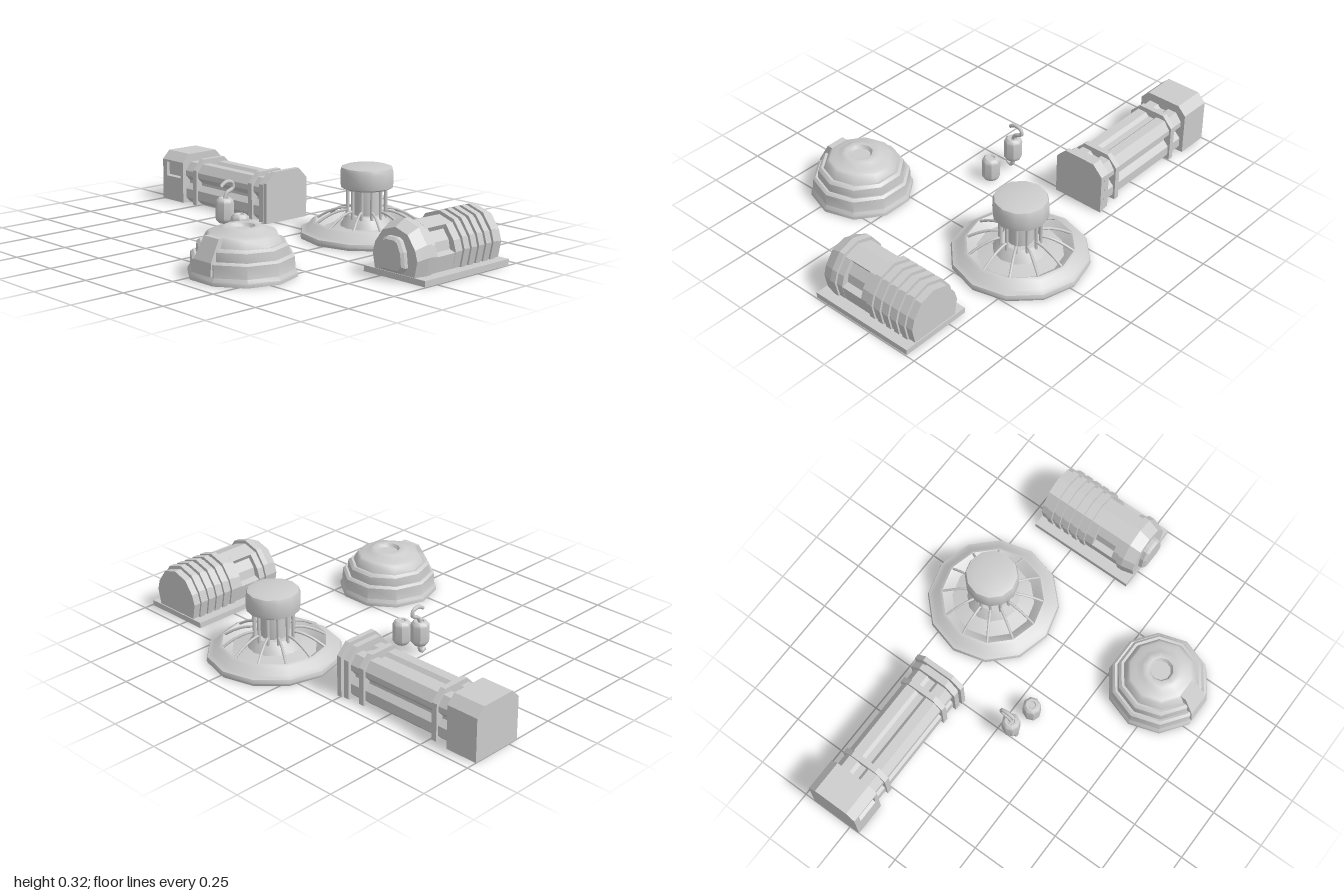
import * as THREE from 'three';
import { toCreasedNormals } from 'three/addons/utils/BufferGeometryUtils.js';

const grey = new THREE.MeshStandardMaterial({ color: 0xcccccc, side: THREE.DoubleSide });

function add(parent, name, geometry) {
  const mesh = new THREE.Mesh(geometry, grey);
  mesh.name = name;
  parent.add(mesh);
  return mesh;
}

function group(parent, name, x, z) {
  const g = new THREE.Group();
  g.name = name;
  g.position.set(x, 0, z);
  parent.add(g);
  return g;
}

const vectors = (pts) => pts.map(([x, y]) => new THREE.Vector2(x, y));

// right half of an outline, bottom to top, mirrored into a closed outline
const mirrored = (half) => [...half, ...half.filter(([x]) => x > 0).reverse().map(([x, y]) => [-x, y])];

// outline extruded along z from a to b
function slab(parent, name, pts, a, b) {
  const geo = new THREE.ExtrudeGeometry(new THREE.Shape(vectors(pts)), { depth: b - a, bevelEnabled: false });
  geo.translate(0, 0, a);
  return add(parent, name, geo);
}

// skin between two outlines with equal point counts, closed at the front
function taper(parent, name, back, front, a, b) {
  const mesh = slab(parent, name, back, a, b);
  const p = mesh.geometry.attributes.position;
  for (let i = 0; i < p.count; i++) {
    if (Math.abs(p.getZ(i) - b) > 1e-5) continue;
    const k = back.findIndex(([x, y]) => Math.hypot(x - p.getX(i), y - p.getY(i)) < 1e-5);
    if (k >= 0) p.setXY(i, ...front[k]);
  }
  mesh.geometry.computeVertexNormals();
}

function lathe(parent, name, pts, sides, start = 0) {
  return add(parent, name, toCreasedNormals(new THREE.LatheGeometry(vectors(pts), sides, start), 0.7));
}

function tube(parent, name, pts, r) {
  const curve = new THREE.CatmullRomCurve3(pts.map((p) => new THREE.Vector3(...p)));
  return add(parent, name, new THREE.TubeGeometry(curve, 14, r, 6));
}

// long hall lying along x
function buildHall(root) {
  const hall = group(root, 'longHall', 0, -0.325);
  hall.rotation.y = Math.PI / 2; // local z runs along x, local -x is the front
  const section = (w, h, c) => mirrored([[w, 0], [w, h - c], [w - c, h]]);
  // grooved body: a shallow channel along the top, bottom and both sides
  slab(hall, 'hallBody', mirrored([
    [0.02, 0.025], [0.03, 0.005], [0.085, 0.005], [0.105, 0.025], [0.105, 0.07], [0.08, 0.095],
    [0.08, 0.108], [0.105, 0.135], [0.105, 0.16], [0.075, 0.2], [0.03, 0.2], [0.015, 0.185],
  ]), -0.86, -0.28);
  for (const x of [-0.768, -0.362]) slab(hall, 'hallBand', section(0.115, 0.222, 0.05), x - 0.013, x + 0.013);
  slab(hall, 'hallFlange', section(0.12, 0.23, 0.05), -0.292, -0.265);
  slab(hall, 'hallFlangeWaist', section(0.11, 0.215, 0.05), -0.265, -0.255);
  slab(hall, 'hallEndPlate', section(0.127, 0.24, 0.05), -0.255, -0.232);
  // head block with a window recess in its front wall
  const full = section(0.125, 0.24, 0.04);
  const notched = [...full.slice(0, 3), [-0.085, 0.24], [-0.125, 0.2], [-0.125, 0.19], [-0.108, 0.185],
    [-0.108, 0.125], [-0.125, 0.12], [-0.125, 0]];
  slab(hall, 'headBlockEnd', full, -1, -0.97);
  slab(hall, 'headBlockWindow', notched, -0.97, -0.865);
  slab(hall, 'headBlockInner', full, -0.865, -0.845);
}

// round dish with a raised drum on posts
function buildDish(root) {
  const dish = group(root, 'dishStation', 0.23, -0.385);
  lathe(dish, 'dishShell', [[0.3, 0], [0.305, 0.012], [0.3, 0.028], [0.275, 0.036], [0.25, 0.066],
    [0.235, 0.072], [0.225, 0.066], [0.19, 0.035], [0.12, 0.05], [0.1, 0.08], [0.085, 0.1], [0, 0.1]], 12);
  lathe(dish, 'core', [[0.06, 0.09], [0.06, 0.225]], 12);
  lathe(dish, 'drum', [[0, 0.22], [0.105, 0.22], [0.119, 0.228], [0.122, 0.25], [0.122, 0.295],
    [0.115, 0.316], [0.085, 0.324], [0, 0.325]], 12);
  for (let i = 0; i < 12; i++) {
    const spoke = group(dish, 'spoke', 0, 0);
    spoke.rotation.y = (i * Math.PI) / 6;
    tube(spoke, 'rib', [[0, 0.066, 0.232], [0, 0.098, 0.18], [0, 0.118, 0.13], [0, 0.125, 0.085]], 0.006);
    add(spoke, 'post', new THREE.CylinderGeometry(0.008, 0.008, 0.135, 6)).position.set(0, 0.155, 0.088);
  }
}

// hollow tiered dome with a sloping door panel
function buildDome(root) {
  const dome = group(root, 'dome', 0.345, 0.46);
  lathe(dome, 'domeShell', [[0.232, 0], [0.232, 0.016], [0.222, 0.032], [0.22, 0.085], [0.208, 0.095],
    [0.197, 0.092], [0.193, 0.13], [0.18, 0.142], [0.168, 0.14], [0.152, 0.172], [0.14, 0.182], [0.115, 0.184],
    [0.088, 0.2], [0.07, 0.206], [0.055, 0.203], [0.045, 0.188], [0, 0.188]], 10, Math.PI / 2);
  // door outline in (z, y), extruded across x and narrowed towards the top
  const door = new THREE.ExtrudeGeometry(
    new THREE.Shape(vectors([[0.18, 0.035], [0.222, 0.035], [0.214, 0.09], [0.165, 0.18], [0.13, 0.18]])),
    { depth: 0.12, bevelEnabled: false });
  door.translate(0, 0, -0.06);
  door.rotateY(-Math.PI / 2);
  const p = door.attributes.position;
  for (let i = 0; i < p.count; i++) p.setX(i, p.getX(i) * (1 - (p.getY(i) - 0.035) * 1.7));
  door.computeVertexNormals();
  add(dome, 'doorPanel', door);
}

// ribbed cabin on a base plate, lying along z
function buildCabin(root) {
  const cabin = group(root, 'ribbedCabin', 0.825, 0);
  const plate = new THREE.Shape(vectors([[-0.17, -0.065], [0.17, -0.065], [0.17, 0.455], [-0.17, 0.455]]));
  plate.holes.push(new THREE.Path(vectors([[-0.1, -0.04], [-0.1, 0.43], [0.1, 0.43], [0.1, -0.04]])));
  const base = new THREE.ExtrudeGeometry(plate, { depth: 0.026, bevelEnabled: false });
  base.rotateX(-Math.PI / 2);
  add(cabin, 'basePlate', base);

  const hull = (s) => mirrored([[0.122, 0.015], [0.14, 0.105], [0.125, 0.155], [0.078, 0.22], [0, 0.245]]
    .map(([x, y]) => [x * s, 0.015 + (y - 0.015) * s]));
  const body = hull(0.93);
  // window span: the shoulders are cut in on both sides
  const windowHull = mirrored([[0.113, 0.015], [0.128, 0.095], [0.098, 0.105], [0.09, 0.145], [0.06, 0.185],
    [0.072, 0.206], [0, 0.229]]);
  slab(cabin, 'rearBody', body, -0.45, -0.162);
  slab(cabin, 'windowBody', windowHull, -0.162, -0.052);
  slab(cabin, 'frontBody', body, -0.052, 0);
  for (let i = 0; i < 5; i++) {
    const z = -0.218 - i * 0.046;
    slab(cabin, 'rib', hull(1), z - 0.014, z + 0.014);
  }
  slab(cabin, 'frontCollar', hull(1), -0.02, 0.008);
  taper(cabin, 'frontSlope', hull(1), hull(0.88), 0.008, 0.062);
  // rounded nose door
  const nose = (s) => mirrored([[0.05, 0.035], [0.074, 0.06], [0.066, 0.125], [0.045, 0.17], [0.025, 0.18]]
    .map(([x, y]) => [x * s, 0.105 + (y - 0.105) * s]));
  slab(cabin, 'noseDoor', nose(1), 0.06, 0.08);
  taper(cabin, 'noseBevel', nose(1), nose(0.85), 0.08, 0.092);
}

// two small canisters, one hung on a hooked pipe
function buildCanisters(root) {
  const canister = (name, x, y, z) => {
    const g = group(root, name, x, z);
    g.position.y = y;
    lathe(g, 'canisterBody', [[0, 0], [0.028, 0], [0.04, 0.012], [0.042, 0.025], [0.042, 0.092],
      [0.04, 0.104], [0.028, 0.115], [0.018, 0.115], [0.015, 0.109], [0, 0.109]], 8);
    return g;
  };
  canister('standingCanister', -0.102, 0, 0.08);
  const hung = canister('hungCanister', -0.23, 0.05, 0.06);
  tube(hung, 'topHook', [[0, 0.11, 0], [0, 0.135, -0.012], [0, 0.155, -0.05], [0, 0.18, -0.045],
    [0, 0.187, -0.01], [0, 0.172, 0.018]], 0.009);
  tube(hung, 'bottomElbow', [[0, 0.005, 0], [0, -0.02, 0], [0, -0.037, 0.012], [0, -0.03, 0.032]], 0.01);
}

export function createModel() {
  const root = new THREE.Group();
  root.name = 'outpostSet';
  buildHall(root);
  buildDish(root);
  buildDome(root);
  buildCabin(root);
  buildCanisters(root);
  return root;
}
